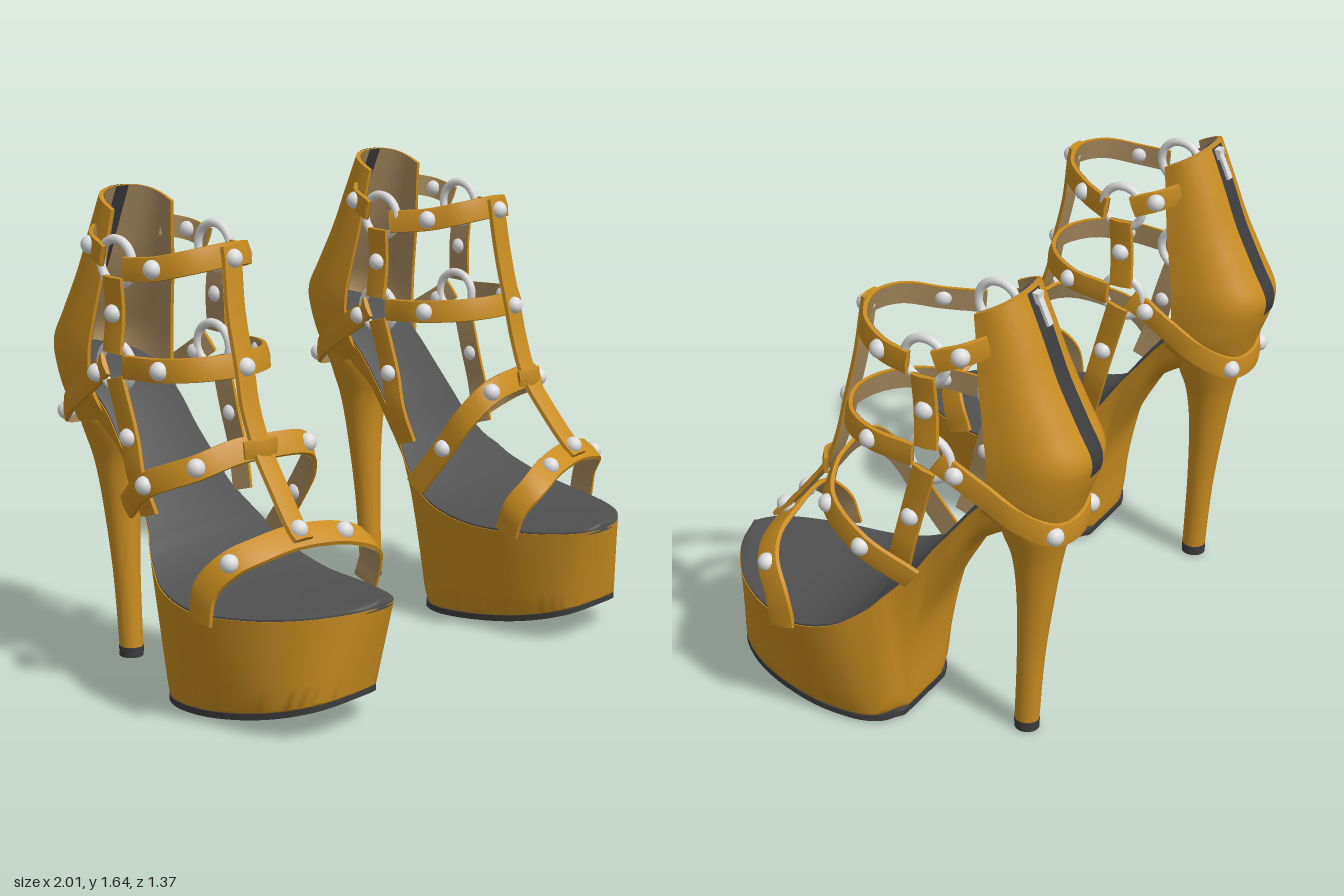
import * as THREE from 'three';
import { toCreasedNormals } from 'three/addons/utils/BufferGeometryUtils.js';

const V = (x, y, z) => new THREE.Vector3(x, y, z);
const lerp = THREE.MathUtils.lerp;
const clamp = THREE.MathUtils.clamp;

const makeMaterial = (name, color, side = THREE.DoubleSide) => {
  const m = new THREE.MeshStandardMaterial({ color, side });
  m.name = name;
  return m;
};

// Catmull-Rom refinement of every column of a table, k steps per row
function refine(rows, k) {
  const out = [];
  const at = i => rows[clamp(i, 0, rows.length - 1)];
  for (let i = 0; i < rows.length - 1; i++) {
    for (let j = 0; j < k; j++) {
      const t = j / k;
      out.push(rows[i].map((b, c) => {
        const a = at(i - 1)[c], d = at(i + 1)[c], e = at(i + 2)[c];
        return b + 0.5 * t * (d - a + t * (2 * a - 5 * b + 4 * d - e + t * (3 * (b - d) + e - a)));
      }));
    }
  }
  out.push(rows[rows.length - 1]);
  return out;
}

// Skin over a list of cross-sections
function loft(rings, closed = true, crease = 0.7) {
  const m = rings[0].length, pos = [], idx = [];
  rings.forEach(r => r.forEach(p => pos.push(p.x, p.y, p.z)));
  const cols = closed ? m : m - 1;
  for (let i = 0; i < rings.length - 1; i++) {
    for (let j = 0; j < cols; j++) {
      const a = i * m + j, b = i * m + (j + 1) % m;
      idx.push(a, b, a + m, b, b + m, a + m);
    }
  }
  if (closed) {
    for (const [base, end] of [[0, 0], [(rings.length - 1) * m, 1]]) {
      for (let i = 0; i < Math.floor(m / 2); i++) {
        const a = base + i, b = base + i + 1, c = base + m - 2 - i, d = base + m - 1 - i;
        if (end) idx.push(a, b, c, a, c, d);
        else idx.push(a, c, b, a, d, c);
      }
    }
  }
  const g = new THREE.BufferGeometry();
  g.setAttribute('position', new THREE.Float32BufferAttribute(pos, 3));
  g.setIndex(idx);
  return toCreasedNormals(g, crease);
}

// Mirror a geometry in x and restore its winding
function mirrorX(geo) {
  const g = geo.index ? geo.toNonIndexed() : geo.clone();
  g.scale(-1, 1, 1);
  for (const a of Object.values(g.attributes)) {
    const n = a.itemSize;
    for (let i = 0; i < a.count; i += 3) {
      for (let c = 0; c < n; c++) {
        const p = (i + 1) * n + c, q = (i + 2) * n + c;
        [a.array[p], a.array[q]] = [a.array[q], a.array[p]];
      }
    }
  }
  return g;
}

export function createModel() {
  const leather = makeMaterial('ochre leather', 0xc88c20);
  const lining = makeMaterial('tan lining', 0xa98c60);
  const insoleMat = makeMaterial('grey insole', 0x505050);
  const rubber = makeMaterial('dark rubber', 0x3c3c3e);
  const metal = makeMaterial('silver metal', 0xdcdcdc, THREE.FrontSide);

  const shoe = new THREE.Group();
  const add = (name, geo, mat) => {
    const mesh = new THREE.Mesh(geo, mat);
    mesh.name = name;
    shoe.add(mesh);
  };

  // Platform and shank: top z, y, inner x, outer x, then the same for the underside
  const K = 5;
  const body = refine([
    [0.68, 0.41, 0.56, 0.61, 0.62, 0.105, 0.62, 0.67],
    [0.665, 0.408, 0.515, 0.67, 0.61, 0.10, 0.55, 0.74],
    [0.63, 0.403, 0.475, 0.74, 0.575, 0.088, 0.495, 0.80],
    [0.55, 0.395, 0.43, 0.84, 0.49, 0.064, 0.455, 0.855],
    [0.42, 0.388, 0.385, 0.93, 0.37, 0.038, 0.432, 0.89],
    [0.25, 0.39, 0.36, 0.99, 0.22, 0.015, 0.425, 0.905],
    [0.10, 0.425, 0.355, 0.98, 0.08, 0.002, 0.43, 0.89],
    [0, 0.485, 0.37, 0.93, 0, 0.002, 0.45, 0.86],
    [-0.045, 0.53, 0.385, 0.90, -0.038, 0.006, 0.485, 0.82],
    [-0.08, 0.565, 0.40, 0.87, -0.058, 0.01, 0.54, 0.76],
    [-0.14, 0.635, 0.43, 0.84, -0.072, 0.18, 0.53, 0.765],
    [-0.20, 0.725, 0.445, 0.82, -0.105, 0.36, 0.51, 0.775],
    [-0.27, 0.815, 0.455, 0.81, -0.19, 0.53, 0.49, 0.775],
    [-0.35, 0.915, 0.455, 0.80, -0.29, 0.69, 0.49, 0.77],
    [-0.45, 1.00, 0.455, 0.80, -0.38, 0.76, 0.50, 0.76],
    [-0.55, 1.045, 0.485, 0.77, -0.47, 0.80, 0.53, 0.73],
    [-0.63, 1.065, 0.56, 0.70, -0.57, 0.88, 0.57, 0.68],
  ], K);
  add('platform and shank', loft(body.map(([zt, yt, l, r, zb, yb, bl, br]) => {
    const tl = V(l, yt, zt), tr = V(r, yt, zt);
    const lo = V(bl, yb + 0.02, zb), hi = V(br, yb + 0.02, zb);
    const round = clamp(0.06 - zb * 2.6, 0.03, 0.5);
    const side = (p, c, q) => {
      const start = p.clone().lerp(c, 1 - round);
      return [...[0, 0.25, 0.5, 0.75].map(t => p.clone().lerp(start, t)),
        ...new THREE.QuadraticBezierCurve3(start, c, c.clone().lerp(q, round * 0.9)).getPoints(7)];
    };
    return [...side(tl, lo, hi), ...side(tr, hi, lo).reverse()];
  }), true, 1.1), leather);
  add('outsole', loft(body.slice(0, 9 * K + 1).map(([, , , , z, y, l, r]) =>
    [V(l, y + 0.021, z), V(l, y, z), V(r, y, z), V(r, y + 0.021, z)])), rubber);
  add('insole', loft(body.map(([z, y, l, r]) => [V(l + 0.004, y - 0.01, z),
    ...[0, 0.12, 0.5, 0.88, 1].map((t, i) =>
      V(lerp(l + 0.004, r - 0.004, t), y + [0.006, 0.014, 0.024, 0.014, 0.006][i], z)),
    V(r - 0.004, y - 0.01, z)])), insoleMat);

  // Stiletto heel: y, front z, back z, half width
  const oval = ([y, zf, zb, w]) => Array.from({ length: 28 }, (_, i) => {
    const a = (i + 0.5) / 28 * Math.PI * 2;
    return V(0.625 + w * Math.sin(a), y, (zf + zb) / 2 + (zf - zb) / 2 * Math.cos(a));
  });
  add('heel', loft(refine([
    [0.035, -0.395, -0.48, 0.04], [0.3, -0.405, -0.50, 0.047], [0.55, -0.405, -0.535, 0.065],
    [0.7, -0.39, -0.56, 0.09], [0.8, -0.36, -0.585, 0.125], [0.88, -0.36, -0.608, 0.145],
    [0.95, -0.46, -0.625, 0.13],
  ], 4).map(oval)), leather);
  add('heel tip', loft([[0, -0.395, -0.48, 0.041], [0.036, -0.394, -0.481, 0.042]].map(oval)), rubber);

  // Heel counter: front y, front z, back y, back z, half width
  const counter = refine([
    [1.58, -0.33, 1.635, -0.45, 0.14], [1.48, -0.345, 1.50, -0.505, 0.152],
    [1.36, -0.36, 1.36, -0.56, 0.168], [1.22, -0.385, 1.22, -0.63, 0.185],
    [1.12, -0.40, 1.12, -0.68, 0.195], [1.03, -0.40, 1.04, -0.67, 0.195],
    [0.95, -0.38, 0.94, -0.635, 0.187], [0.88, -0.36, 0.83, -0.597, 0.15],
  ], K);
  const shellPoint = ([yf, zf, yb, zb, w], a, off) => {
    const s = Math.sin(a), c = Math.max(0, Math.cos(a)) ** 0.7;
    return V(0.63 + (w - off) * Math.sign(s) * Math.abs(s) ** 0.8, lerp(yf, yb, c), lerp(zf, zb + off, c));
  };
  const arc = Array.from({ length: 33 }, (_, i) => (i / 32 - 0.5) * Math.PI);
  const sheet = (row, off) => arc.map(a => shellPoint(row, a, off));
  add('heel counter', loft(counter.map(r => [...sheet(r, 0), ...sheet(r, 0.014).reverse()])), leather);
  add('counter lining', loft(counter.map(r => sheet(r, 0.017)), false), lining);

  // Zip on the back, seen inside and out
  for (const off of [-0.006, 0.023]) {
    add('zip', loft(counter.slice(0, 5 * K).map(r => {
      const a0 = Math.asin((0.034 / r[4]) ** 1.25);
      return [-1, -0.4, 0, 0.4, 1].map(t => shellPoint(r, a0 * t, off));
    }), false), rubber);
  }
  const pull = new THREE.BoxGeometry(0.025, 0.1, 0.01);
  pull.rotateX(0.42);
  add('zip pull', pull.translate(0.625, 1.572, -0.492), metal);
  add('zip slider', new THREE.BoxGeometry(0.035, 0.035, 0.03).translate(0.625, 1.612, -0.465), metal);

  // Strap along a path; studs name the path points that carry one
  function strap(name, pts, width, across, studs = []) {
    const curve = new THREE.CatmullRomCurve3(pts.map(p => V(...p)));
    const n = (pts.length - 1) * 6;
    const frame = t => {
      const p = curve.getPoint(t), d = curve.getTangent(t);
      const w = V(...across).addScaledVector(d, -d.dot(V(...across))).normalize();
      return { p, w, o: d.clone().cross(w) };
    };
    const mid = frame(0.5);
    const sign = mid.o.dot(mid.p.clone().sub(V(0.64, mid.p.y - 0.1, -0.2))) < 0 ? -1 : 1;
    const section = list => Array.from({ length: n + 1 }, (_, i) => {
      const f = frame(i / n);
      return list.map(([u, h]) => f.p.clone().addScaledVector(f.w, u * width).addScaledVector(f.o, h * sign));
    });
    add(name, loft(section([[-0.5, 0], [-0.47, 0.013], [0, 0.018], [0.47, 0.013], [0.5, 0]])), leather);
    add(name + ' lining', loft(section([[-0.48, -0.003], [0.48, -0.003]]), false), lining);
    for (const i of studs) {
      const f = frame(i / (pts.length - 1));
      const g = new THREE.SphereGeometry(0.031, 16, 12);
      const c = f.p.addScaledVector(f.o, 0.012 * sign);
      add('stud', g.translate(c.x, c.y, c.z), metal);
    }
  }
  const leaning = [0, 1, -0.25], up = [0, 1, 0], along = [0, 0, 1];
  strap('toe strap', [[0.985, 0.37, 0.28], [0.98, 0.48, 0.30], [0.935, 0.56, 0.36], [0.85, 0.595, 0.405],
    [0.715, 0.612, 0.43], [0.54, 0.597, 0.47], [0.43, 0.55, 0.485], [0.38, 0.48, 0.45], [0.375, 0.39, 0.42]],
    0.095, [0, 0.58, -0.81], [2, 5]);
  strap('instep strap', [[0.88, 0.64, -0.16], [0.935, 0.75, -0.01], [0.87, 0.82, 0.15], [0.76, 0.86, 0.21],
    [0.66, 0.865, 0.235], [0.48, 0.845, 0.25], [0.41, 0.76, 0.20], [0.39, 0.64, 0.12], [0.375, 0.48, 0]],
    0.085, [0, 0.9, -0.45], [1, 2, 5, 7]);
  strap('middle ankle strap', [[0.872, 1.10, -0.17], [0.865, 1.11, -0.01], [0.81, 1.12, 0.10], [0.68, 1.125, 0.16],
    [0.53, 1.12, 0.12], [0.43, 1.11, -0.01], [0.408, 1.10, -0.17]], 0.08, leaning, [1, 5]);
  strap('upper ankle strap', [[0.872, 1.42, -0.16], [0.85, 1.43, -0.05], [0.79, 1.455, 0.05], [0.67, 1.47, 0.095],
    [0.55, 1.458, 0.06], [0.475, 1.432, -0.04], [0.408, 1.42, -0.16]], 0.08, leaning, [1, 5]);
  strap('centre strap', [[0.67, 1.50, 0.105], [0.67, 1.46, 0.112], [0.68, 1.3, 0.135], [0.685, 1.12, 0.178],
    [0.69, 1.0, 0.205], [0.69, 0.87, 0.255], [0.70, 0.75, 0.34], [0.715, 0.635, 0.435], [0.717, 0.61, 0.465]],
    0.08, [1, 0, 0], [1, 3, 7]);
  strap('centre keeper', [[0.75, 0.87, 0.24], [0.69, 0.875, 0.275], [0.63, 0.87, 0.255]], 0.06, up);
  strap('heel strap', [[0.872, 1.10, -0.255], [0.855, 1.06, -0.31], [0.835, 1.0, -0.40], [0.81, 0.93, -0.50],
    [0.74, 0.865, -0.592], [0.63, 0.85, -0.617], [0.52, 0.865, -0.592], [0.45, 0.93, -0.50],
    [0.43, 1.0, -0.40], [0.425, 1.06, -0.31], [0.408, 1.10, -0.255]], 0.08, up, [1, 4, 6, 9]);

  // Straps and rings repeated on the outer and inner side of the ankle
  for (const inner of [false, true]) {
    const side = pts => pts.map(([x, y, z]) => [inner ? 1.28 - x : x, y, z]);
    const label = inner ? 'inner ' : 'outer ';
    strap(label + 'ankle link', side([[0.872, 1.39, -0.212], [0.862, 1.27, -0.215], [0.872, 1.14, -0.22]]),
      0.085, along, [1]);
    strap(label + 'counter link', side([[0.872, 1.45, -0.255], [0.85, 1.478, -0.33], [0.785, 1.495, -0.39]]),
      0.075, up, [1]);
    strap(label + 'side strap', side([[0.872, 1.06, -0.21], [0.865, 0.87, -0.155], [0.87, 0.75, -0.125],
      [0.85, 0.62, -0.085]]), 0.08, along, [1]);
    const x = inner ? 0.42 : 0.86;
    for (const [y, z] of [[1.435, -0.212], [1.095, -0.222]]) {
      add(label + 'ring', new THREE.TorusGeometry(0.075, 0.015, 10, 32).rotateY(Math.PI / 2).translate(x, y, z), metal);
    }
  }

  // Second shoe mirrors the first
  const other = new THREE.Group();
  for (const m of shoe.children) {
    const copy = new THREE.Mesh(mirrorX(m.geometry), m.material);
    copy.name = m.name;
    other.add(copy);
  }
  shoe.name = 'left shoe';
  other.name = 'right shoe';
  const model = new THREE.Group();
  model.name = 'pair of platform sandals';
  model.add(shoe, other);
  return model;
}
